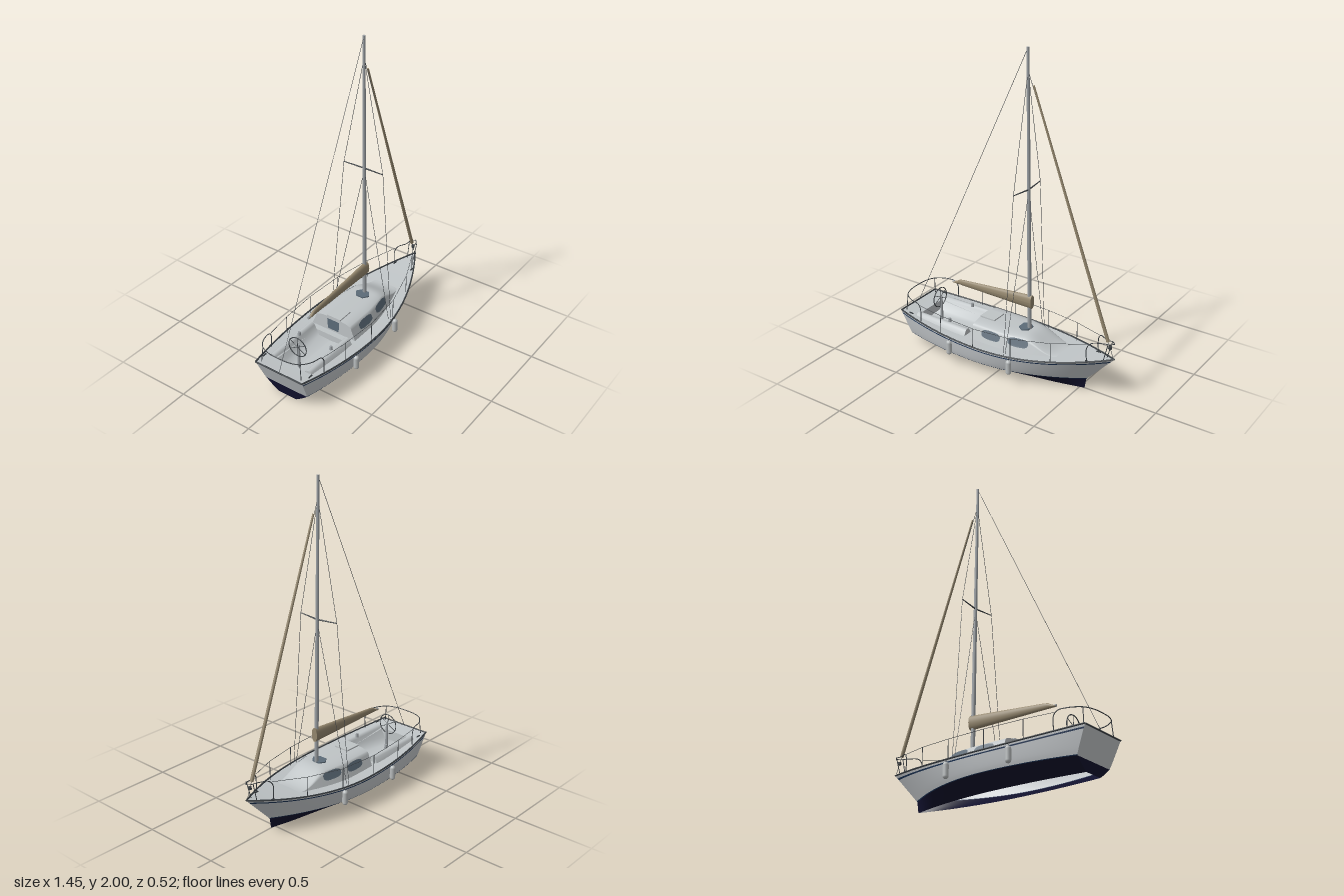
import * as THREE from 'three';

const mat = (name, color) => new THREE.MeshStandardMaterial({ name, color, side: THREE.DoubleSide });
const { lerp, smoothstep } = THREE.MathUtils;
const V = (x, y, z) => new THREE.Vector3(x, y, z);

// hull lines: half beam and sheer height along x
const halfBeam = (x) => {
  const s = x + 0.1;
  return s > 0 ? 0.243 * (1 - Math.min(1, s / 0.82) ** 2.05) : 0.243 - 0.073 * (s / 0.62) ** 2;
};
const sheer = (x) => {
  const s = x + 0.05;
  return 0.178 + (s > 0 ? 0.077 * (s / 0.77) ** 2 : 0.037 * (s / 0.67) ** 2);
};
// topsides point: u from stern to bow, v from waterline to sheer
const hullPoint = (u, v, side) => {
  const xs = lerp(-0.72, 0.72, u);
  return V(lerp(lerp(-0.655, 0.54, u), xs, v), lerp(0.065, sheer(xs), v),
    side * halfBeam(xs) * lerp(0.89, 1, v ** 0.7));
};
// underbody point: w from the open bottom edge to the waterline
const keelPoint = (u, w, side) => {
  const top = hullPoint(u, 0, side);
  return V(lerp(lerp(-0.65, 0.53, u), top.x, w), 0.065 * w, top.z * lerp(0.43, 1, w ** 0.9));
};

// surface from a function of two parameters in 0..1
function surface(f, nu, nv) {
  const pos = [], idx = [];
  for (let i = 0; i <= nu; i++) for (let j = 0; j <= nv; j++) pos.push(...f(i / nu, j / nv).toArray());
  for (let i = 0; i < nu; i++) for (let j = 0; j < nv; j++) {
    const a = i * (nv + 1) + j, b = a + nv + 1;
    idx.push(a, a + 1, b, b, a + 1, b + 1);
  }
  const g = new THREE.BufferGeometry();
  g.setAttribute('position', new THREE.Float32BufferAttribute(pos, 3));
  g.setIndex(idx);
  g.computeVertexNormals();
  return g;
}

// cabin profile
const cabinBase = (x) => 0.158 - 0.075 * Math.max(0, x / 0.38) ** 1.5;
const cabinTop = (x) => lerp(0.27, sheer(x) - 0.004, smoothstep(x, 0.16, 0.38));
const cabinSide = (x, y) => cabinBase(x) - 0.4 * (y - sheer(x));

export function createModel() {
  const boat = new THREE.Group();
  boat.name = 'sailboat';
  const white = mat('hull white', 0xc6cacd), deckGrey = mat('deck grey', 0xbfc4c6);
  const navy = mat('bottom navy', 0x10102c), blue = mat('stripe blue', 0x1d3557);
  const dark = mat('rail dark grey', 0x3b4044), metal = mat('mast metal', 0x9a9fa3);
  const canvas = mat('canvas', 0x93866d), glass = mat('window slate', 0x5c6b78);
  const rubber = mat('fender grey', 0xb9bdbe);

  const add = (name, geo, m, x = 0, y = 0, z = 0) => {
    const mesh = new THREE.Mesh(geo, m);
    mesh.name = name;
    mesh.position.set(x, y, z);
    boat.add(mesh);
    return mesh;
  };
  const box = (name, m, w, h, d, x, y, z) => add(name, new THREE.BoxGeometry(w, h, d), m, x, y, z);
  // straight round bar between two points
  const rod = (name, m, a, b, r, r2 = r, sides = 6) => {
    const d = b.clone().sub(a), mid = a.clone().add(b).multiplyScalar(0.5);
    const mesh = add(name, new THREE.CylinderGeometry(r2, r, d.length(), sides), m, mid.x, mid.y, mid.z);
    mesh.quaternion.setFromUnitVectors(V(0, 1, 0), d.normalize());
    return mesh;
  };
  const tube = (name, m, pts, r, n = 40) =>
    add(name, new THREE.TubeGeometry(new THREE.CatmullRomCurve3(pts, false, 'centripetal'), n, r, 6), m);
  // flat plate across the boat at a given x, points are [z, y]
  const plate = (name, m, pts, x) =>
    add(name, new THREE.ShapeGeometry(new THREE.Shape(pts.map(([z, y]) => new THREE.Vector2(-z, y)))), m, x)
      .rotation.y = Math.PI / 2;

  // hull sides in colour bands, toe rail
  const bands = [[0, 0.03, blue, 'boot stripe'], [0.03, 0.84, white, 'topside'],
    [0.84, 0.9, blue, 'sheer stripe'], [0.9, 1, white, 'upper strake']];
  for (const s of [-1, 1]) {
    add('underbody', surface((u, w) => keelPoint(u, w, s), 48, 5), navy);
    for (const [a, b, m, name] of bands)
      add(name, surface((u, v) => hullPoint(u, lerp(a, b, v), s), 48, b - a > 0.5 ? 8 : 1), m);
    const rail = [];
    for (let i = 0; i <= 24; i++) rail.push(hullPoint(i / 24, 1, s).add(V(0, 0.002, 0)));
    tube('toe rail', dark, rail, 0.005, 60);
  }
  // transom
  const across = (f) => (t, v) => { const p = f(0, v, 1); p.z *= lerp(-1, 1, t); return p; };
  add('transom', surface(across(hullPoint), 2, 8), white);
  add('lower transom', surface(across(keelPoint), 2, 5), navy);
  rod('transom rail', dark, hullPoint(0, 1, -1), hullPoint(0, 1, 1), 0.005);

  // deck around the cockpit opening
  const deckY = (x) => sheer(x) - 0.003;
  const deck = (x0, x1, inner) => {
    for (const s of [-1, 1]) add('deck', surface((u, v) => {
      const x = lerp(x0, x1, u);
      return V(x, deckY(x), s * lerp(inner, halfBeam(x), v));
    }, 20, 1), deckGrey);
  };
  deck(-0.72, -0.61, 0);
  deck(-0.61, -0.23, 0.1);
  deck(-0.23, 0.72, 0);

  // cockpit well with coamings
  const section = [[0.165, 0.18], [0.15, 0.209], [0.138, 0.217], [0.124, 0.217], [0.112, 0.205], [0.08, 0.14], [0, 0.135]];
  for (const s of [-1, 1]) {
    add('coaming', surface((u, v) => {
      const [z, y] = section[Math.round(v * 6)];
      return V(lerp(-0.61, -0.23, u), y, s * z);
    }, 1, 6), deckGrey);
    for (const x of [-0.61, -0.23]) plate('coaming end', deckGrey, section.slice(0, 5).concat([[0.112, 0.18]]).map(([z, y]) => [s * z, y]), x);
    add('winch', new THREE.CylinderGeometry(0.008, 0.011, 0.024, 12), metal, -0.375, 0.228, s * 0.118);
    box('stern cleat', dark, 0.03, 0.006, 0.006, -0.64, 0.216, s * 0.168);
    box('bow cleat', dark, 0.03, 0.006, 0.006, 0.58, 0.23, s * 0.065);
  }
  for (const x of [-0.61, -0.23])
    plate('cockpit end wall', deckGrey, [[-0.08, 0.135], [0.08, 0.135], [0.105, deckY(x)], [-0.105, deckY(x)]], x);

  // steering wheel on its pedestal
  const wheel = add('steering wheel', new THREE.TorusGeometry(0.064, 0.003, 6, 32), dark, -0.54, 0.285, 0);
  wheel.rotation.y = Math.PI / 2;
  for (let i = 0; i < 3; i++) {
    const c = 0.064 * Math.cos(i * Math.PI / 3), d = 0.064 * Math.sin(i * Math.PI / 3);
    rod('wheel spoke', dark, V(-0.54, 0.285 - c, -d), V(-0.54, 0.285 + c, d), 0.0018);
  }
  rod('pedestal', metal, V(-0.53, 0.135, 0), V(-0.53, 0.295, 0), 0.01, 0.007, 10);

  // cabin trunk
  const cabinPoint = (u, v) => {
    const x = lerp(-0.19, 0.38, u), t = lerp(-1, 1, v), a = Math.abs(t);
    const base = deckY(x), top = cabinTop(x), shoulder = lerp(base, top, 0.88);
    const side = cabinSide(x, shoulder);
    if (a > 0.7) {
      const k = (1 - a) / 0.3, y = lerp(base, shoulder, k);
      return V(x, y, Math.sign(t) * cabinSide(x, y));
    }
    return V(x, lerp(shoulder, top + 0.006, 1 - (a / 0.7) ** 4), side * t / 0.7);
  };
  add('cabin', surface(cabinPoint, 30, 40), deckGrey);
  const aft = [];
  for (let i = 0; i <= 40; i++) { const p = cabinPoint(0, i / 40); aft.push([p.z, p.y]); }
  plate('cabin aft wall', deckGrey, aft, -0.19);
  plate('companionway door', glass, [[-0.04, 0.19], [0.04, 0.19], [0.045, 0.262], [-0.045, 0.262]], -0.193);
  box('sliding hatch', deckGrey, 0.105, 0.012, 0.1, -0.138, 0.278, 0);

  // oval cabin windows lying on the sloped sides
  for (const s of [-1, 1]) for (const [cx, cy] of [[-0.05, 0.229], [0.135, 0.234]]) {
    const pts = [];
    for (let i = 0; i < 24; i++) {
      const c = Math.cos(i * Math.PI / 12), d = Math.sin(i * Math.PI / 12);
      pts.push(new THREE.Vector2(cx + 0.067 * Math.sign(c) * Math.abs(c) ** 0.7, cy + 0.025 * Math.sign(d) * Math.abs(d) ** 0.7));
    }
    const g = new THREE.ShapeGeometry(new THREE.Shape(pts)), p = g.attributes.position;
    for (let i = 0; i < p.count; i++) p.setZ(i, s * (cabinSide(p.getX(i), p.getY(i)) + 0.003));
    g.computeVertexNormals();
    add('cabin window', g, glass);
  }

  // mast, spreaders and standing rigging
  const mastAt = (y) => V(lerp(0.138, 0.113, (y - 0.27) / 1.73), y, 0);
  add('mast step', new THREE.CylinderGeometry(0.05, 0.05, 0.008, 6), glass, 0.113, 0.28, 0).scale.x = 0.8;
  rod('mast', metal, mastAt(0.27), mastAt(2), 0.013, 0.008, 14);
  const wire = (a, b) => rod('rigging wire', dark, a, b, 0.0014, 0.0014, 5);
  wire(mastAt(1.995), V(-0.712, 0.215, 0));
  wire(mastAt(1.87), V(0.715, 0.255, 0));
  for (const s of [-1, 1]) {
    const tip = V(0.113, 1.178, s * 0.138);
    rod('spreader', dark, mastAt(1.172), tip, 0.005, 0.003);
    wire(mastAt(1.87), tip);
    wire(tip, V(0.1, 0.185, s * 0.222));
    wire(mastAt(1.16), V(0.1, 0.185, s * 0.205));
  }

  // furled headsail, boom and sail cover
  rod('furled headsail', canvas, V(0.675, 0.36, 0), V(0.152, 1.79, 0), 0.011, 0.006, 10);
  add('furling drum', new THREE.CylinderGeometry(0.011, 0.011, 0.015, 12), dark, 0.69, 0.325, 0);
  rod('boom', metal, V(0.13, 0.425, 0), V(-0.435, 0.429, 0), 0.007, 0.007, 10);
  const cover = (u, v) => {
    const x = lerp(-0.43, 0.155, u), a = v * Math.PI * 2;
    const bottom = lerp(0.422, 0.414, u), top = lerp(0.452, 0.502, u) - 0.022 * (1 - smoothstep(x, -0.43, -0.37));
    return V(x, lerp(bottom, top, 0.5 + 0.5 * Math.sin(a)), lerp(0.009, 0.021, u) * Math.cos(a));
  };
  add('sail cover', surface(cover, 24, 20), canvas);
  for (const u of [0, 1])
    add('sail cover end', surface((t, v) => cover(u, 0).setZ(0).lerp(cover(u, v), t), 1, 20), canvas);

  // pulpit, pushpit, stanchions and lifelines
  const edge = (x, y, s) => V(x, y, s * (halfBeam(x) - 0.012));
  for (const s of [-1, 1]) {
    tube('pulpit', dark, [edge(0.575, 0.23, s), edge(0.575, 0.32, s), edge(0.595, 0.348, s), edge(0.65, 0.353, s), V(0.7, 0.356, s * 0.018), V(0.718, 0.357, 0)], 0.0028);
    rod('pulpit post', dark, edge(0.66, 0.24, s), V(0.69, 0.355, s * 0.028), 0.0025);
    tube('pushpit', dark, [edge(-0.545, 0.2, s), edge(-0.545, 0.285, s), edge(-0.565, 0.312, s), edge(-0.63, 0.318, s), V(-0.69, 0.32, s * 0.135), V(-0.715, 0.321, s * 0.07), V(-0.72, 0.321, 0)], 0.0028);
    rod('pushpit post', dark, V(-0.695, 0.214, s * 0.145), V(-0.69, 0.32, s * 0.135), 0.0025);
    const posts = [[-0.55, 0.305], [-0.37, 0.302], [-0.12, 0.298], [0.14, 0.303], [0.38, 0.322], [0.58, 0.343]];
    posts.forEach(([x, y], i) => {
      if (i > 0) rod('lifeline', dark, edge(...posts[i - 1], s), edge(x, y, s), 0.0014, 0.0014, 5);
      if (i > 0 && i < 5) rod('stanchion', dark, edge(x, deckY(x), s), edge(x, y, s), 0.002);
    });
  }

  // fenders hanging from the rail
  for (const s of [-1, 1]) for (const x of [-0.29, 0.14]) {
    const z = s * (halfBeam(x) + 0.005);
    add('fender', new THREE.CapsuleGeometry(0.017, 0.062, 6, 14), rubber, x, 0.12, z);
    rod('fender rope', dark, V(x, 0.165, z), V(x, sheer(x) + 0.004, z - s * 0.005), 0.0015);
  }
  return boat;
}
